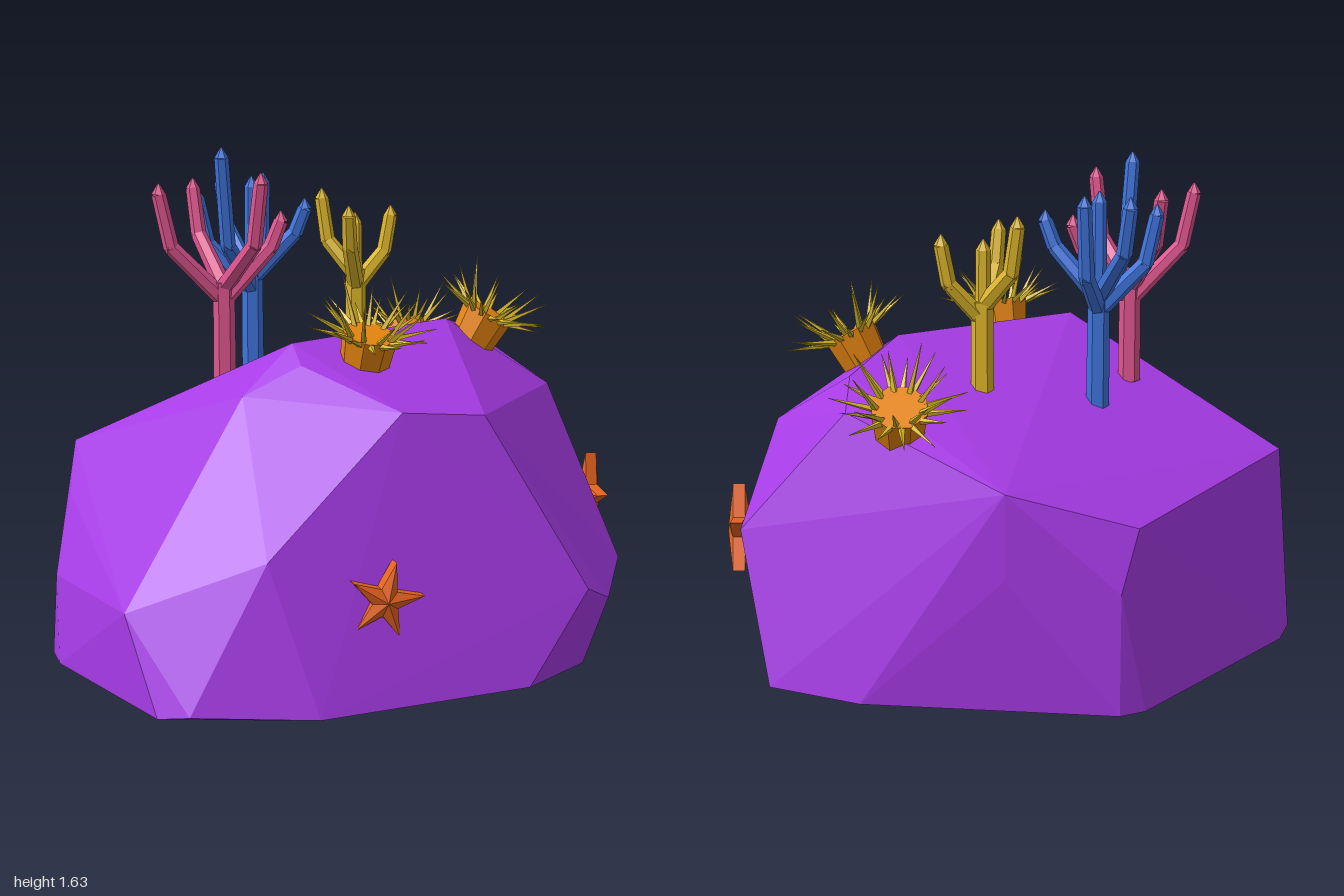
import * as THREE from 'three';
import { ConvexGeometry } from 'three/addons/geometries/ConvexGeometry.js';

const V = (x, y, z) => new THREE.Vector3(x, y, z);
const UP = V(0, 1, 0);
const paint = (color) => new THREE.MeshStandardMaterial({ color, flatShading: true });
const rockMat = paint(0xa63be6), bodyMat = paint(0xe8860f), spineMat = paint(0xd8b82a), starMat = paint(0xe8641f);

function add(parent, name, geometry, material) {
  const mesh = new THREE.Mesh(geometry, material);
  mesh.name = name;
  parent.add(mesh);
  return mesh;
}

// Tapered rod between two points
function rod(parent, name, a, b, r0, r1, sides, material) {
  const d = b.clone().sub(a);
  const mesh = add(parent, name, new THREE.CylinderGeometry(r1, r0, d.length(), sides), material);
  mesh.position.copy(a).addScaledVector(d, 0.5);
  mesh.quaternion.setFromUnitVectors(UP, d.normalize());
}

// Faceted boulder: hull of its corner points
function rock() {
  const corners = [
    // sloping top
    [-0.3, 1.03, 0.2], [0.4, 1.03, 0.09], [0.64, 0.95, -0.09], [0.71, 0.87, -0.235],
    [0.4, 0.7, -0.74], [0, 0.57, -0.845], [-0.75, 0.64, -0.47],
    // front shoulder
    [-0.33, 0.976, 0.3], [-0.16, 0.86, 0.61], [0.115, 0.83, 0.67], [0.8, 0.77, 0.17], [-0.515, 0.89, 0.25],
    // middle
    [-0.645, 0.46, 0.6], [0.38, 0.27, 0.88], [0.5, 0.21, 0.845], [0.73, 0.255, 0.64], [1, 0.47, -0.03],
    [0.4, 0.43, -0.74], [0.09, 0.39, -0.9], [-0.84, 0.5, -0.33], [-0.97, 0.28, 0.3], [-0.96, 0.27, -0.2],
    // base
    [0.13, 0, 0.9], [0.41, 0, 0.83], [0.84, 0, 0.34], [0.98, 0, -0.22], [0.77, 0, -0.47], [0.09, 0, -0.9],
    [0, 0, -0.9], [-0.71, 0, -0.57], [-0.81, 0, -0.47], [-0.97, 0, -0.22], [-1, 0, -0.11], [-0.96, 0, 0.48],
    [-0.9, 0.02, 0.57], [-0.56, 0, 0.76],
  ];
  return new ConvexGeometry(corners.map((p) => V(...p)));
}

// Branching coral: a trunk and arms that reach out, then bend upward
function coral(name, color, x, z, baseY, forkY, tips) {
  const group = new THREE.Group(), mat = paint(color);
  group.name = name;
  rod(group, 'trunk', V(x, baseY, z), V(x, forkY + 0.03, z), 0.038, 0.036, 6, mat);
  tips.forEach(([tx, ty, tz], i) => {
    const root = V(x, forkY - 0.03 + (i % 2) * 0.04, z);
    const tip = V(tx, ty - 0.035, tz);
    const reach = Math.hypot(tx - x, tz - z);
    const elbow = V(x + (tx - x) * 0.82, root.y + reach * 0.75 + 0.02, z + (tz - z) * 0.82);
    rod(group, 'armLower', root, elbow, 0.03, 0.026, 6, mat);
    rod(group, 'armUpper', elbow, tip, 0.026, 0.024, 6, mat);
    add(group, 'armJoint', new THREE.IcosahedronGeometry(0.027), mat).position.copy(elbow);
    rod(group, 'armTip', tip, V(tx, ty, tz), 0.024, 0.003, 6, mat);
  });
  return group;
}

// Sea urchin: a short drum with spines fanning out of its top rim
function urchin(x, y, z, axis) {
  const group = new THREE.Group();
  group.name = 'urchin';
  add(group, 'urchinBody', new THREE.CylinderGeometry(0.092, 0.078, 0.13, 8), bodyMat);
  const rings = [[15, 0.08, 0.055, 0.38, 0.13], [9, 0.07, 0.06, 0.95, 0.15]];
  rings.forEach(([count, r, h, pitch, length], k) => {
    for (let i = 0; i < count; i++) {
      const a = ((i + k * 0.5) / count) * Math.PI * 2;
      const len = length * (1 + 0.15 * Math.sin(i * 2.4));
      const lift = pitch + 0.15 * Math.cos(i * 1.9);
      const root = V(Math.cos(a) * r, h, Math.sin(a) * r);
      const out = V(Math.cos(a) * Math.cos(lift), Math.sin(lift), Math.sin(a) * Math.cos(lift));
      rod(group, 'urchinSpine', root, root.clone().addScaledVector(out, len), 0.011, 0.0008, 4, spineMat);
    }
  });
  group.position.set(x, y, z);
  group.quaternion.setFromUnitVectors(UP, V(...axis).normalize());
  return group;
}

// Starfish: thick five-pointed star, ridged toward the middle on both sides
function starfish(x, y, z, radius, spin, yaw) {
  const ring = [], pos = [], h = 0.02;
  for (let i = 0; i < 10; i++) {
    const a = spin + (i * Math.PI) / 5, r = i % 2 ? radius * 0.36 : radius;
    ring.push([Math.cos(a) * r, Math.sin(a) * r]);
  }
  for (let i = 0; i < 10; i++) {
    const [ax, ay] = ring[i], [bx, by] = ring[(i + 1) % 10];
    pos.push(0, 0, 0.04, ax, ay, h, bx, by, h);
    pos.push(0, 0, -0.04, bx, by, -h, ax, ay, -h);
    pos.push(ax, ay, h, ax, ay, -h, bx, by, -h, ax, ay, h, bx, by, -h, bx, by, h);
  }
  const geo = new THREE.BufferGeometry();
  geo.setAttribute('position', new THREE.Float32BufferAttribute(pos, 3));
  geo.computeVertexNormals();
  const mesh = new THREE.Mesh(geo, starMat);
  mesh.name = 'starfish';
  mesh.position.set(x, y, z);
  mesh.rotation.y = yaw;
  return mesh;
}

export function createModel() {
  const model = new THREE.Group();
  model.name = 'coralRock';
  add(model, 'rock', rock(), rockMat);

  model.add(
    coral('pinkCoral', 0xe0558f, -0.35, -0.14, 0.85, 1.16,
      [[-0.55, 1.52, -0.21], [-0.31, 1.56, 0.035], [-0.16, 1.42, -0.085], [-0.355, 1.52, -0.33]]),
    coral('blueCoral', 0x3f74dd, -0.155, -0.28, 0.8, 1.16,
      [[-0.33, 1.63, -0.18], [-0.16, 1.52, -0.475], [-0.05, 1.52, -0.375], [-0.03, 1.45, -0.14],
        [-0.31, 1.48, -0.38], [-0.155, 1.52, -0.28]]),
    coral('yellowCoral', 0xdcb52a, 0.23, -0.21, 0.85, 1.15,
      [[0.11, 1.42, -0.08], [0.155, 1.46, -0.315], [0.36, 1.4, -0.185], [0.225, 1.38, -0.21]]),
  );

  model.add(
    urchin(-0.1, 1.0, 0.33, [0, 0.95, 0.28]),
    urchin(0.53, 0.99, 0.115, [0.36, 0.86, 0.28]),
    urchin(0.585, 0.86, -0.375, [0.2, 0.82, -0.5]),
  );

  model.add(
    starfish(-0.31, 0.32, 0.73, 0.125, 0.05, -0.26),
    starfish(0.91, 0.37, 0.28, 0.155, 1.69, 1.19),
  );
  return model;
}
